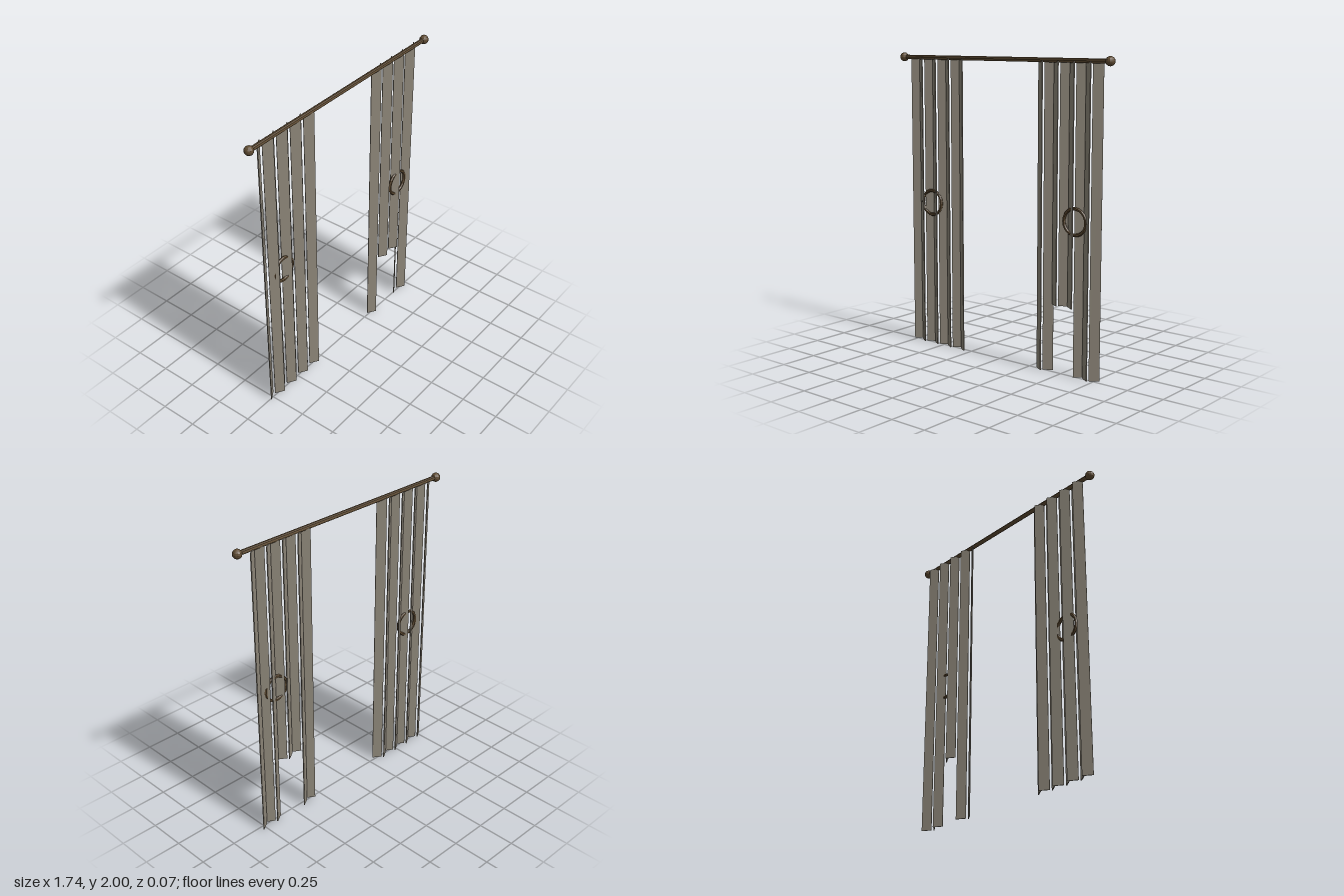
import * as THREE from 'three';

export function createModel() {
  const model = new THREE.Group();
  model.name = 'curtain';

  const cloth = new THREE.MeshStandardMaterial({ color: 0x8e877a, flatShading: true });
  cloth.name = 'greyCloth';
  const wood = new THREE.MeshStandardMaterial({ color: 0x604c33, flatShading: true });
  wood.name = 'brownWood';

  function add(parent, name, geometry, material, x, y, z) {
    const mesh = new THREE.Mesh(geometry, material);
    mesh.name = name;
    mesh.position.set(x, y, z);
    parent.add(mesh);
    return mesh;
  }

  // Rod with a ball at each end
  const rodY = 1.97, rodZ = 0.005;
  const rod = add(model, 'rod', new THREE.CylinderGeometry(0.015, 0.015, 1.68, 10), wood, 0, rodY, rodZ);
  rod.rotation.z = Math.PI / 2;
  for (const side of [-1, 1]) {
    add(model, side > 0 ? 'leftFinial' : 'rightFinial',
      new THREE.SphereGeometry(0.03, 12, 8), wood, side * 0.84, rodY, rodZ);
  }

  // Two panels of eight upright strips, turned alternately to form folds
  const top = 1.966, pitch = 0.0598, angle = 0.57;
  for (const side of [-1, 1]) {
    const panel = new THREE.Group();
    panel.name = side > 0 ? 'leftPanel' : 'rightPanel';
    model.add(panel);
    for (let i = 0; i < 8; i++) {
      const x = side * 0.537 + (i - 3.5) * pitch;
      const turnsRight = (i % 2 === 0) === (side < 0);
      const torn = side > 0 && i >= 2 && i <= 4; // short strips leave a gap below
      const bottom = torn ? 0.44 : 0;
      const strip = add(panel, 'strip', new THREE.BoxGeometry(0.067, top - bottom, 0.006), cloth,
        x, (top + bottom) / 2, turnsRight ? -0.0125 : 0.004);
      strip.rotation.y = turnsRight ? angle : -angle;
    }
    // Tie ring passing through the folds
    add(panel, 'tieRing', new THREE.TorusGeometry(0.083, 0.011, 6, 20), wood, side * 0.597, 0.988, 0.002);
  }
  return model;
}
